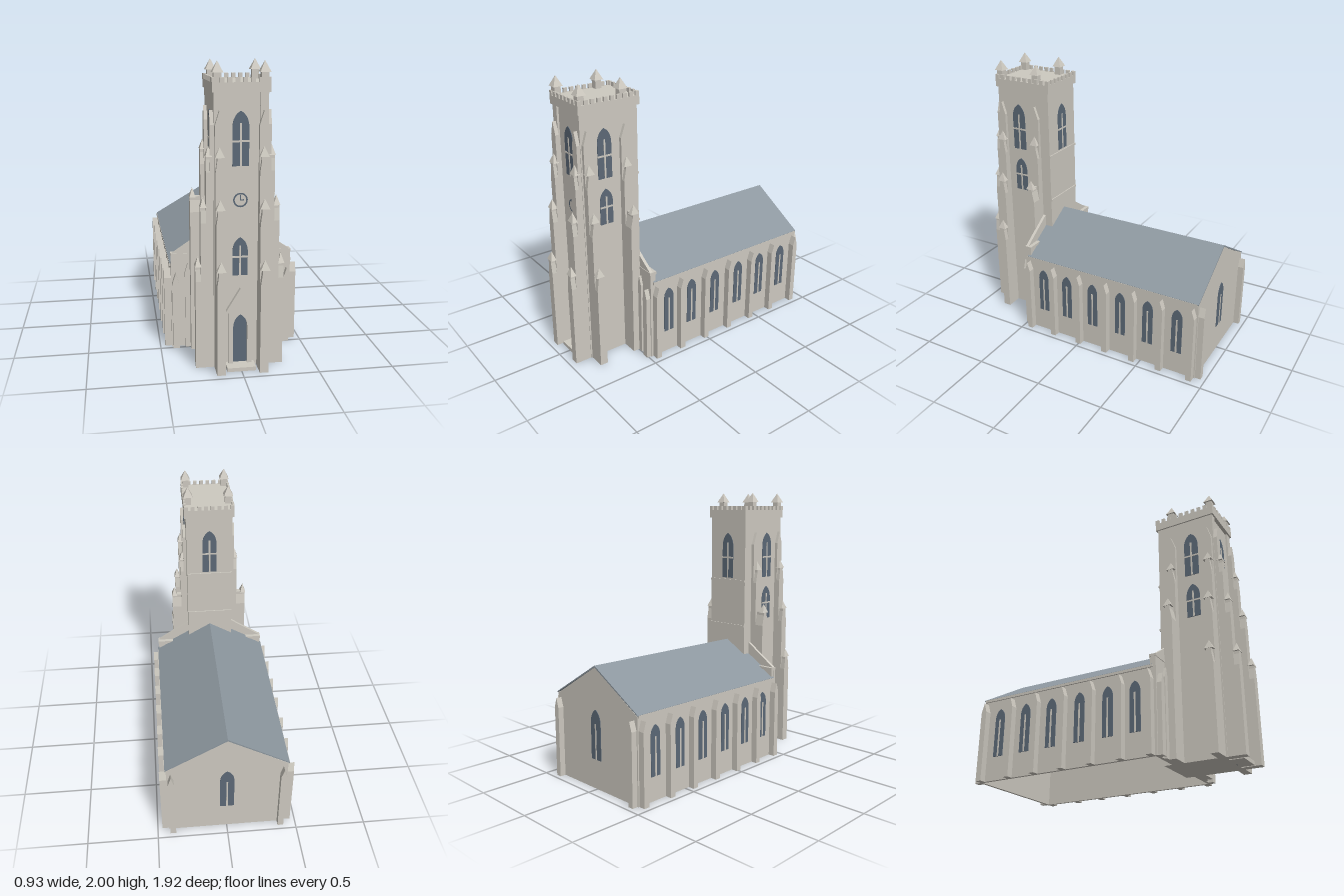
import * as THREE from 'three';

const mat = (name, color) => Object.assign(new THREE.MeshStandardMaterial({ color }), { name });

export function createModel() {
  const stone = mat('stone', 0xcdc9c0);
  const slate = mat('roof slate', 0x8d979f);
  const glass = mat('dark glass', 0x5c6977);
  const root = new THREE.Group();
  root.name = 'church';

  const add = (parent, name, geo, m = stone, x = 0, y = 0, z = 0) => {
    const mesh = new THREE.Mesh(geo, m);
    mesh.name = name;
    mesh.position.set(x, y, z);
    parent.add(mesh);
    return mesh;
  };
  // Box given by its minimum and maximum corners
  const block = (parent, name, x0, x1, y0, y1, z0, z1, m = stone) =>
    add(parent, name, new THREE.BoxGeometry(x1 - x0, y1 - y0, z1 - z0), m,
      (x0 + x1) / 2, (y0 + y1) / 2, (z0 + z1) / 2);
  const poly = (pts) => new THREE.Shape(pts.map(([x, y]) => new THREE.Vector2(x, y)));
  const extrude = (shape, depth) =>
    new THREE.ExtrudeGeometry(shape, { depth, bevelEnabled: false, curveSegments: 6 });
  const pyramid = (w, h, d) => {
    const g = new THREE.ConeGeometry(Math.SQRT1_2, 1, 4).rotateY(Math.PI / 4).toNonIndexed();
    g.scale(w, h, d).translate(0, h / 2, 0);
    g.computeVertexNormals();
    return g;
  };
  // Group whose local +z is turned to face outward
  const place = (g, x, y, z, turn = 0) => {
    g.position.set(x, y, z);
    g.rotation.y = turn;
    root.add(g);
  };
  const named = (name) => Object.assign(new THREE.Group(), { name });

  // Pointed arch outline, base at y = 0
  const arch = (hw, h, Type = THREE.Shape) => {
    const s = new Type(), spring = h - hw * 1.75;
    s.moveTo(-hw, 0);
    s.lineTo(hw, 0);
    s.lineTo(hw, spring);
    s.quadraticCurveTo(hw * 0.9, h - hw * 0.5, 0, h);
    s.quadraticCurveTo(-hw * 0.9, h - hw * 0.5, -hw, spring);
    return s;
  };
  const windowUnit = (hw, h, mullionTop, transom) => {
    const g = named('window');
    add(g, 'windowGlass', extrude(arch(hw, h), 0.005));
    g.children[0].material = glass;
    block(g, 'mullion', -0.006, 0.006, 0, mullionTop, 0.003, 0.008);
    if (transom) block(g, 'transom', -hw, hw, transom - 0.006, transom + 0.006, 0.003, 0.008);
    return g;
  };

  // Stepped buttress: stages of [depth, peak height], outermost first
  const towerButtress = (stages, w) => {
    const g = named('towerButtress');
    stages.forEach(([d, peak], i) => {
      const last = i === stages.length - 1, a = w / 2;
      const pts = last
        ? [[-a, 0], [a, 0], [a, peak - 0.09], [0, peak], [-a, peak - 0.09]]
        : [[-a, 0], [a, 0], [a, peak - 0.165], [0.017, peak - 0.085], [0.017, peak - 0.06],
          [-0.017, peak - 0.06], [-0.017, peak - 0.085], [-a, peak - 0.165]];
      add(g, 'buttressStage', extrude(poly(pts), d));
      if (!last) add(g, 'buttressPinnacle', pyramid(0.062, 0.065, 0.042), stone, 0, peak - 0.065, d - 0.018);
    });
    return g;
  };
  // Plain buttress with a gabled head
  const naveButtress = (w, eaves, peak, depth) => {
    const g = named('naveButtress'), a = w / 2;
    add(g, 'buttressBody', extrude(poly([[-a, 0], [a, 0], [a, eaves], [0, peak], [-a, eaves]]), depth));
    return g;
  };

  // Nave shell, open underneath
  for (const s of [-1, 1]) {
    block(root, 'naveSideWall', Math.min(s * 0.4, s * 0.42), Math.max(s * 0.4, s * 0.42), 0, 0.6, -0.92, 0.47);
    block(root, 'eavesCornice', Math.min(s * 0.41, s * 0.43), Math.max(s * 0.41, s * 0.43), 0.59, 0.608, -0.92, 0.46);
  }
  add(root, 'backGable', extrude(poly([[-0.42, 0], [0.42, 0], [0.42, 0.6], [0, 0.85], [-0.42, 0.6]]), 0.02),
    stone, 0, 0, -0.925);
  add(root, 'frontGable', extrude(poly([[-0.42, 0], [0.42, 0], [0.42, 0.68], [0.175, 0.845],
    [-0.175, 0.845], [-0.42, 0.68]]), 0.022), stone, 0, 0, 0.457);
  add(root, 'naveRoof', extrude(poly([[0.428, 0.602], [0.428, 0.61], [0, 0.862], [-0.428, 0.61],
    [-0.428, 0.602], [0, 0.85]]), 1.385), slate, 0, 0, -0.928);

  // Nave windows and buttresses
  for (const s of [-1, 1]) {
    const turn = s * Math.PI / 2;
    for (const z of [0.325, 0.12, -0.1, -0.33, -0.55, -0.775])
      place(windowUnit(0.04, 0.35, 0.27), s * 0.419, 0.17, z, turn);
    for (const z of [0.44, 0.228, 0.005, -0.22, -0.445, -0.66, -0.895])
      place(naveButtress(0.042, 0.505, 0.572, 0.055), s * 0.412, 0, z, turn);
    place(naveButtress(0.042, 0.505, 0.572, 0.05), s * 0.39, 0, -0.917, Math.PI);
    place(naveButtress(0.045, 0.48, 0.55, 0.045), s * 0.39, 0, 0.467);
    place(naveButtress(0.04, 0.55, 0.62, 0.03), s * 0.305, 0, 0.467);
    // Low parapet beside the tower
    const [a, b] = s > 0 ? [0.28, 0.418] : [-0.418, -0.28];
    block(root, 'parapet', a, b, 0.6, 0.665, 0.435, 0.476);
    block(root, 'parapetCoping', a - 0.003, b + 0.003, 0.665, 0.685, 0.43, 0.483);
  }
  place(windowUnit(0.05, 0.35, 0.25), 0, 0.21, -0.924, Math.PI);

  // Tower body with a recessed front panel between corner piers
  block(root, 'towerBody', -0.172, 0.172, 0, 1.82, 0.4, 0.82);
  for (const [a, b] of [[-0.172, -0.12], [0.12, 0.172]])
    block(root, 'frontPier', a, b, 0, 1.82, 0.815, 0.835);
  for (const y of [0.98, 1.33])
    block(root, 'backStringCourse', -0.172, 0.172, y - 0.008, y + 0.008, 0.392, 0.402);

  // Tower buttresses
  const stepped = [[0.12, 0.765], [0.085, 1.155], [0.05, 1.48], [0.025, 1.7]];
  const rear = [[0.12, 1.155], [0.05, 1.48], [0.025, 1.7]];
  for (const s of [-1, 1]) {
    place(towerButtress(stepped, 0.056), s * 0.14, 0, 0.835);
    place(towerButtress(stepped, 0.056), s * 0.17, 0, 0.797, s * Math.PI / 2);
    place(towerButtress(rear, 0.066), s * 0.17, 0, 0.51, s * Math.PI / 2);
  }

  // Tower windows
  const tall = () => windowUnit(0.053, 0.345, 0.27, 0.157);
  const short = () => windowUnit(0.05, 0.255, 0.2, 0.125);
  place(tall(), 0, 1.35, 0.819);
  place(short(), 0, 0.632, 0.819);
  place(tall(), 0, 1.35, 0.401, Math.PI);
  for (const s of [-1, 1]) {
    place(tall(), s * 0.171, 1.35, 0.66, s * Math.PI / 2);
    place(short(), s * 0.171, 1.02, 0.66, s * Math.PI / 2);
  }

  // Clock
  const clock = named('clock');
  add(clock, 'clockRing', new THREE.RingGeometry(0.037, 0.047, 32), glass);
  block(clock, 'minuteHand', -0.004, 0.004, -0.004, 0.032, -0.002, 0.002, glass);
  block(clock, 'hourHand', 0, 0.022, -0.004, 0.004, -0.002, 0.002, glass);
  place(clock, 0, 1.132, 0.823);

  // Gabled doorway with step
  const porch = poly([[-0.078, 0], [0.078, 0], [0.078, 0.38], [0.102, 0.38], [0, 0.547], [-0.102, 0.38], [-0.078, 0.38]]);
  porch.holes.push(arch(0.047, 0.37, THREE.Path));
  add(root, 'doorSurround', extrude(porch, 0.03), stone, 0, 0, 0.818);
  add(root, 'door', extrude(arch(0.047, 0.37), 0.006), glass, 0, 0, 0.818);
  block(root, 'doorStep', -0.095, 0.095, 0, 0.026, 0.815, 0.915);

  // Crown with battlements and corner pinnacles
  block(root, 'towerCrown', -0.183, 0.183, 1.81, 1.87, 0.386, 0.846);
  for (let i = 0; i < 8; i++) {
    const x = -0.169 + i * 0.338 / 7;
    for (const z of [0.386, 0.831]) block(root, 'merlon', x - 0.014, x + 0.014, 1.865, 1.9, z, z + 0.015);
  }
  for (let i = 0; i < 10; i++) {
    const z = 0.4 + i * 0.048;
    for (const x of [-0.183, 0.168]) block(root, 'merlon', x, x + 0.015, 1.865, 1.9, z - 0.014, z + 0.014);
  }
  for (const x of [-0.148, 0.148]) for (const z of [0.814, 0.508]) {
    block(root, 'pinnacleShaft', x - 0.023, x + 0.023, 1.865, 1.932, z - 0.023, z + 0.023);
    add(root, 'pinnacleCap', pyramid(0.068, 0.07, 0.068), stone, x, 1.93, z);
  }
  return root;
}
